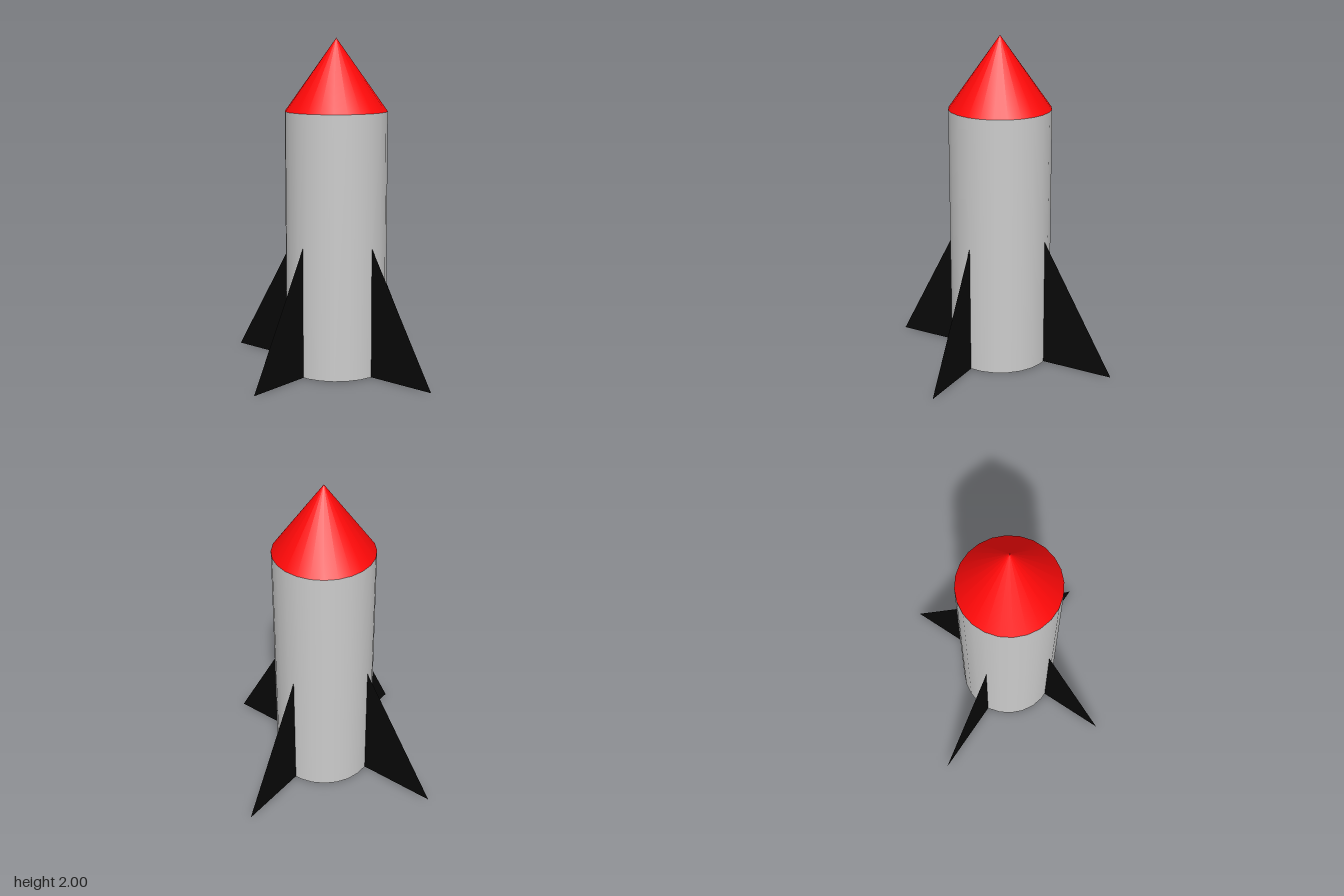
import * as THREE from 'three';

const SIDES = 24;
const RADIUS = 0.306;
const CENTER = { x: -0.018, z: 0.03 };
const BODY_TOP = 1.57;
const FIN_HEIGHT = 0.785;

export function createModel() {
  const model = new THREE.Group();
  model.name = 'rocket';

  const grey = new THREE.MeshStandardMaterial({ color: 0xcccccc });
  const red = new THREE.MeshStandardMaterial({ color: 0xff0808 });
  const black = new THREE.MeshStandardMaterial({ color: 0x080808, side: THREE.DoubleSide });

  const add = (name, geometry, material, x, y, z) => {
    const mesh = new THREE.Mesh(geometry, material);
    mesh.name = name;
    mesh.position.set(x, y, z);
    model.add(mesh);
    return mesh;
  };

  // Closed cylindrical hull, flat facets facing the axes
  const halfStep = Math.PI / SIDES;
  add('body', new THREE.CylinderGeometry(RADIUS, RADIUS, BODY_TOP, SIDES, 1, false, halfStep),
    grey, CENTER.x, BODY_TOP / 2, CENTER.z);

  // Pointed nose
  const noseHeight = 2 - BODY_TOP;
  add('noseCone', new THREE.ConeGeometry(RADIUS, noseHeight, SIDES, 1, false, halfStep),
    red, CENTER.x, BODY_TOP + noseHeight / 2, CENTER.z);

  // Thin triangular fins, from the hull surface out to the tip
  const fins = [
    { name: 'leftFin', x: 0.285, z: 0.03, reach: 0.452, turn: 0 },
    { name: 'rightFin', x: -0.321, z: 0.03, reach: 0.42, turn: Math.PI },
    { name: 'frontFin', x: -0.055, z: 0.333, reach: 0.434, turn: -Math.PI / 2 },
    { name: 'backFin', x: -0.055, z: -0.272, reach: 0.493, turn: Math.PI / 2 },
  ];
  for (const { name, x, z, reach, turn } of fins) {
    const outline = new THREE.Shape([
      new THREE.Vector2(0, 0),
      new THREE.Vector2(reach, 0),
      new THREE.Vector2(0, FIN_HEIGHT),
    ]);
    add(name, new THREE.ShapeGeometry(outline), black, x, 0, z).rotation.y = turn;
  }

  return model;
}
